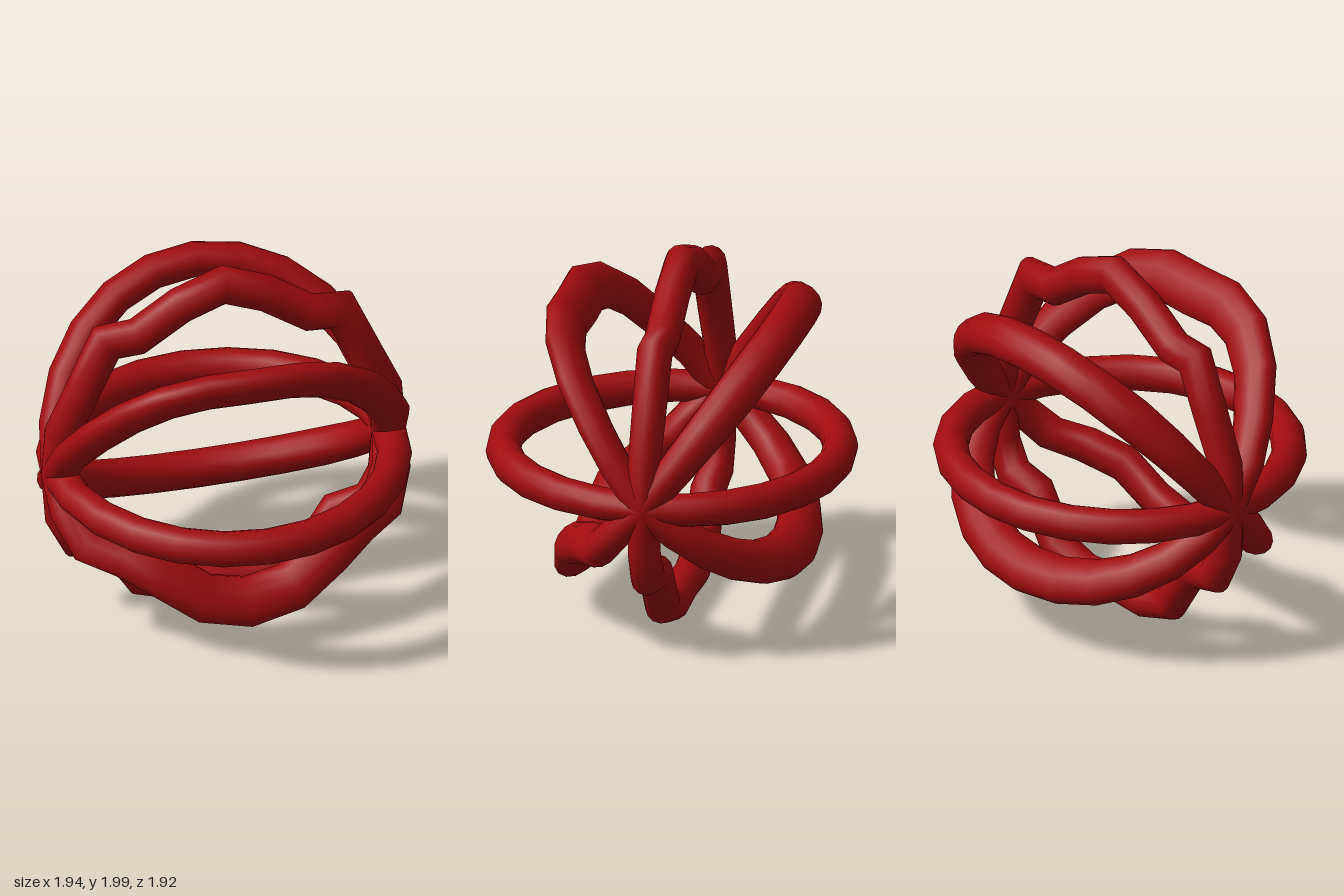
import * as THREE from 'three';

const POLE = new THREE.Vector3(0.88, 0.87, -0.055); // where all bands meet (mirrored at -x)
const SIDES = 14;
const STEPS = 6; // points from pole to middle, 15 degrees each
const material = new THREE.MeshStandardMaterial({ color: 0xa00c0e, side: THREE.DoubleSide });

// Flat arc leaning in direction (dy, dz); profile = [x, distance from pole axis]
function planar(dy, dz, profile) {
  const l = Math.hypot(dy, dz);
  return profile.map(([x, s]) => new THREE.Vector3(x, POLE.y + s * dy / l, POLE.z + s * dz / l));
}

// Regular half-ellipse profile of the given reach
function round(reach) {
  return Array.from({ length: STEPS + 1 }, (_, k) => {
    const a = (k / STEPS) * Math.PI / 2;
    return [POLE.x * Math.cos(a), reach * Math.sin(a)];
  });
}

// Sweeps an elliptical section along a half arc mirrored about x = 0
function band(name, half, rn, rb) {
  const path = [...half, ...half.slice(0, -1).reverse().map((p) => new THREE.Vector3(-p.x, p.y, p.z))];
  const last = path.length - 1;
  const u = half[half.length - 1].clone().sub(POLE).setX(0).normalize();
  const b = new THREE.Vector3(1, 0, 0).cross(u);
  const positions = [], index = [];
  path.forEach((p, i) => {
    const t = new THREE.Vector3();
    let miter = 1;
    if (i === 0) t.copy(u);
    else if (i === last) t.copy(u).negate();
    else {
      const d0 = p.clone().sub(path[i - 1]).normalize();
      t.copy(path[i + 1]).sub(p).normalize().add(d0).normalize();
      miter = Math.min(1.2, 1 / t.dot(d0));
    }
    const n = t.clone().cross(b).normalize();
    // sections are slimmer at the poles
    const f = Math.sin(Math.PI * i / last);
    const wn = (0.09 + (rn - 0.09) * f) * miter;
    const wb = 0.08 + (rb - 0.08) * Math.min(1, f * 1.5);
    for (let j = 0; j < SIDES; j++) {
      const a = (j / SIDES) * Math.PI * 2;
      const v = p.clone().addScaledVector(n, wn * Math.cos(a)).addScaledVector(b, wb * Math.sin(a));
      positions.push(v.x, v.y, v.z);
      if (i < last) {
        const k = (j + 1) % SIDES, r = i * SIDES, s = r + SIDES;
        index.push(r + j, s + j, r + k, s + j, s + k, r + k);
      }
    }
  });
  const geometry = new THREE.BufferGeometry();
  geometry.setAttribute('position', new THREE.Float32BufferAttribute(positions, 3));
  geometry.setIndex(index);
  geometry.computeVertexNormals();
  const mesh = new THREE.Mesh(geometry, material);
  mesh.name = name;
  return mesh;
}

export function createModel() {
  const group = new THREE.Group();
  group.name = 'bandedSphere';

  // Level ring
  group.add(band('levelFrontBand', planar(-0.01, 1, round(0.925)), 0.09, 0.095));
  group.add(band('levelBackBand', planar(-0.01, -1, round(0.815)), 0.09, 0.095));

  // Upright ring, kinked above and below
  group.add(band('uprightTopBand', planar(1, 0,
    [[0.88, 0], [0.86, 0.25], [0.745, 0.5], [0.625, 0.765], [0.46, 0.775], [0.23, 0.93], [0, 1.02]]), 0.098, 0.092));
  group.add(band('uprightBottomBand', planar(-1, 0,
    [[0.88, 0], [0.86, 0.26], [0.78, 0.42], [0.6, 0.46], [0.44, 0.71], [0.23, 0.775], [0, 0.76]]), 0.088, 0.092));

  // Leaning bands
  group.add(band('upperFrontBand', planar(0.8, 0.6,
    [[0.88, 0], [0.85, 0.25], [0.76, 0.47], [0.62, 0.7], [0.44, 0.86], [0.23, 0.93], [0, 0.925]]), 0.135, 0.082));
  group.add(band('upperBackBand', planar(0.8, -0.6, round(1)), 0.092, 0.115));
  group.add(band('lowerBackBand', planar(-0.49, -0.6, round(0.765)), 0.13, 0.1));

  // Drooping lower front band
  const droop = [[0.88, 0.87, -0.055], [0.86, 0.73, 0.08], [0.78, 0.59, 0.2], [0.62, 0.55, 0.3],
    [0.44, 0.47, 0.41], [0.23, 0.32, 0.455], [0, 0.265, 0.46]].map((p) => new THREE.Vector3(...p));
  group.add(band('lowerFrontBand', droop, 0.13, 0.095));

  return group;
}
